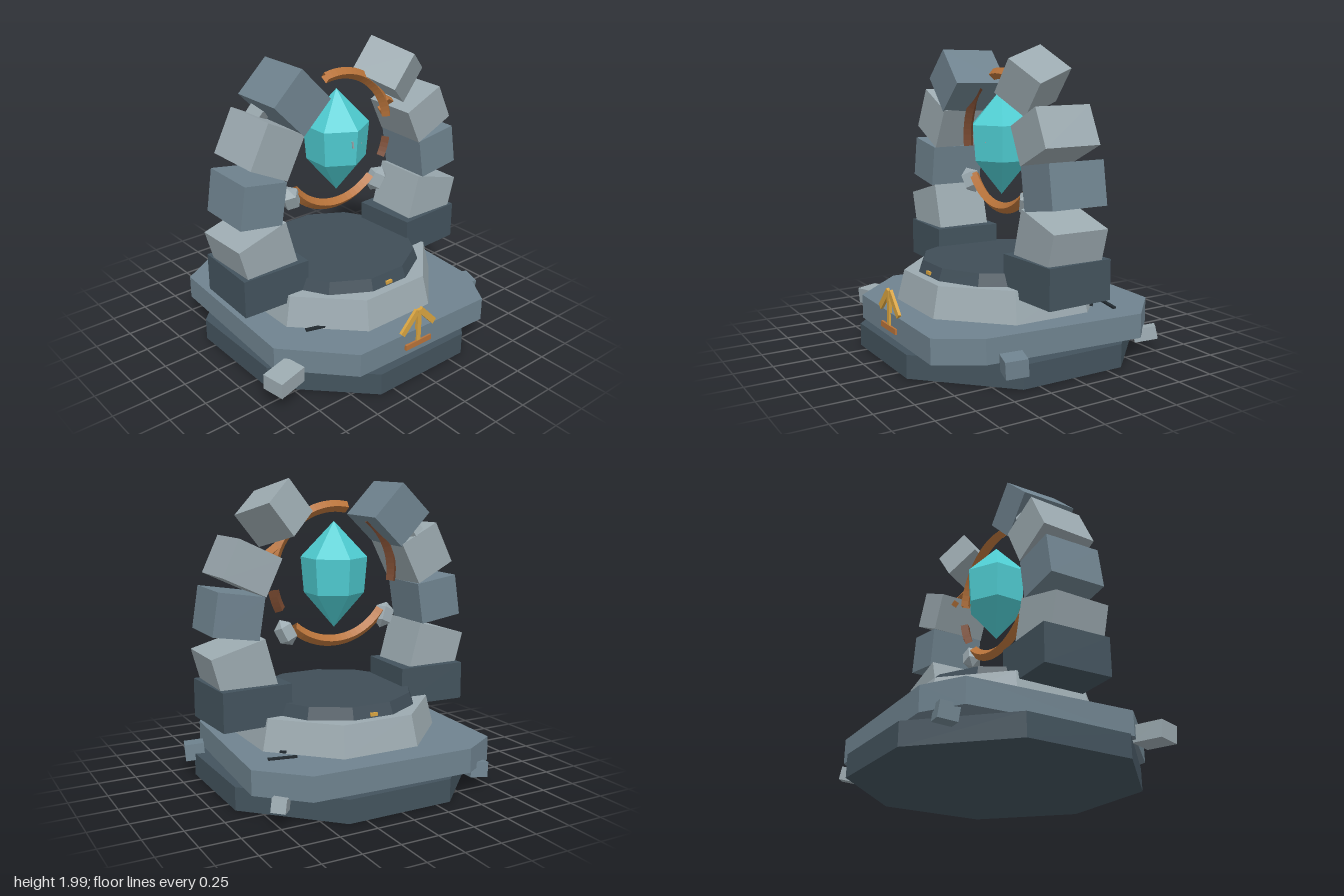
import * as THREE from 'three';

const mat = (color) => new THREE.MeshStandardMaterial({ color, flatShading: true });

export function createModel() {
  const model = new THREE.Group();
  const dark = mat(0x43535d), slate = mat(0x6f838f), pale = mat(0x9caab0), floor = mat(0x3f4d57);
  const copper = mat(0xb8733a), rust = mat(0x77482f), gold = mat(0xd9a441);
  const teal = mat(0x4fcdd2), black = mat(0x222a30);

  const add = (name, geometry, material, pos = [0, 0, 0], rot = [0, 0, 0]) => {
    const mesh = new THREE.Mesh(geometry, material);
    mesh.name = name;
    mesh.position.set(...pos);
    mesh.rotation.set(...rot, 'ZYX');
    model.add(mesh);
    return mesh;
  };
  const box = (name, size, material, pos, rot) =>
    add(name, new THREE.BoxGeometry(...size), material, pos, rot);
  // Prism with a flat side facing front; radii are measured to the flats
  const prism = (name, sides, top, bottom, y0, y1, material) => {
    const k = 1 / Math.cos(Math.PI / sides);
    add(name, new THREE.CylinderGeometry(top * k, bottom * k, y1 - y0, sides), material,
      [0.007, (y0 + y1) / 2, 0], [0, Math.PI / sides, 0]);
  };

  // Stepped base with an irregular slab
  prism('foundation', 8, 0.87, 0.87, 0, 0.15, dark);
  const outline = [[-0.53, -0.84], [0.57, -0.81], [0.845, -0.54], [0.77, 0.55],
    [0.6, 0.825], [-0.47, 0.805], [-0.84, 0.41], [-0.78, -0.69]];
  const slab = new THREE.ExtrudeGeometry(
    new THREE.Shape(outline.map(([x, z]) => new THREE.Vector2(x, -z))),
    { depth: 0.16, bevelEnabled: false });
  slab.rotateX(-Math.PI / 2);
  add('slab', slab, slate, [0, 0.15, 0]);
  prism('upperStep', 8, 0.595, 0.64, 0.31, 0.51, pale);
  prism('floorDisc', 12, 0.508, 0.54, 0.5, 0.588, floor);

  // Pedestals under the arch
  box('rightPedestal', [0.475, 0.255, 0.46], dark, [-0.655, 0.583, -0.005], [0, -0.05, 0]);
  box('leftPedestal', [0.475, 0.255, 0.46], dark, [0.67, 0.583, -0.005], [0, 0.05, 0]);

  // Broken arch stones: width, height, depth, x, y, z, yaw, roll
  const stones = [
    [0.37, 0.33, 0.385, -0.703, 0.8, 0.005, 0.015, 0.27, pale],
    [0.305, 0.28, 0.385, -0.724, 0.163 + 1, 0.005, -0.02, -0.155, slate],
    [0.303, 0.302, 0.385, -0.616, 1.483, 0.005, 0.02, -0.47, pale],
    [0.307, 0.288, 0.385, -0.418, 1.748, 0.005, -0.02, -0.81, slate],
    [0.37, 0.33, 0.385, 0.718, 0.8, 0.005, -0.015, -0.27, pale],
    [0.31, 0.275, 0.385, 0.752, 1.158, 0.005, -0.02, 0.16, slate],
    [0.31, 0.26, 0.385, 0.655, 1.45, 0.005, -0.02, 0.443, pale],
    [0.26, 0.267, 0.33, 0.425, 1.77, 0.015, 0.43, -0.67, pale],
  ];
  stones.forEach(([w, h, d, x, y, z, yaw, roll, m], i) =>
    box(`archStone${i + 1}`, [w, h, d], m, [x, y, z], [0, yaw, roll]));
  box('archChip', [0.1, 0.08, 0.1], pale, [-0.535, 1.63, -0.12], [0.3, 0.4, -0.4]);

  // Floating crystal
  const profile = [[0, 1.005], [0.2, 1.24], [0.22, 1.475], [0, 1.71]]
    .map(([r, y]) => new THREE.Vector2(r, y));
  add('crystal', new THREE.LatheGeometry(profile, 6), teal, [0.008, 0, -0.015]);
  for (const x of [-0.015, 0.075])
    box('crystalChip', [0.014, 0.05, 0.02], pale, [x, 1.385, 0.185 - Math.abs(x) * 0.55], [0, 0, 0.15]);

  // Broken ring of diamond section: start and end angle in degrees
  const arcs = [[10, 102, 18, copper], [216, 312, 18, copper], [-28, -11, 4, rust], [126, 189, 12, rust]];
  for (const [a, b, n, m] of arcs) {
    const arc = THREE.MathUtils.degToRad(b - a);
    const mesh = add('ringSegment', new THREE.TorusGeometry(0.447, 0.038, 4, n, arc), m,
      [0.005, 1.36, -0.01], [0, 0, THREE.MathUtils.degToRad(a)]);
    mesh.material = m.clone();
    mesh.material.side = THREE.DoubleSide;
  }
  box('ringSplinter', [0.15, 0.045, 0.045], copper, [0.49, 1.52, -0.03], [0.5, 0.3, -0.5]);
  box('ringSplinter', [0.11, 0.04, 0.04], copper, [0.5, 1.47, -0.07], [0.3, -0.4, 0.5]);

  // Stone shards at the ends of the lower arc
  for (const [x, y, roll] of [[-0.387, 1.053, 0.5], [0.355, 0.995, -0.35]]) {
    const shard = add('ringShard', new THREE.SphereGeometry(0.075, 5, 3), pale, [x, y, 0], [0.2, 0.4, roll]);
    shard.scale.y = 1.25;
  }

  // Arrow emblem on the front edge and small floor markers
  box('emblemStem', [0.032, 0.24, 0.022], gold, [0.005, 0.335, 0.815]);
  for (const s of [-1, 1])
    box('emblemArm', [0.042, 0.185, 0.02], gold, [0.005 + s * 0.075, 0.383, 0.813], [0, 0, s * 0.76]);
  box('emblemBar', [0.22, 0.036, 0.022], copper, [0.005, 0.212, 0.817]);
  for (const z of [-0.53, 0.53])
    box('floorMarker', [0.05, 0.022, 0.02], gold, [0.003, 0.53, z]);

  // Cracks in the slab
  box('crack', [0.14, 0.012, 0.026], black, [-0.505, 0.323, 0.41], [0, -0.3, 0]);
  box('crack', [0.18, 0.012, 0.024], black, [0.605, 0.323, -0.465], [0, -0.2, 0]);
  box('crack', [0.04, 0.012, 0.02], black, [0.555, 0.323, -0.365], [0, -0.7, 0]);

  // Rubble around the base
  box('rubble', [0.21, 0.11, 0.15], pale, [-0.862, 0.178, 0.545], [0.08, 0.22, 0.06]);
  box('rubble', [0.13, 0.11, 0.14], slate, [0.86, 0.155, 0.415], [0.1, -0.28, -0.08]);
  box('rubble', [0.09, 0.085, 0.15], pale, [0.72, 0.125, -0.68], [0.15, -0.62, 0.1]);
  box('rubble', [0.12, 0.1, 0.12], slate, [-0.65, 0.13, -0.735], [0.1, -0.2, 0.1]);

  return model;
}
